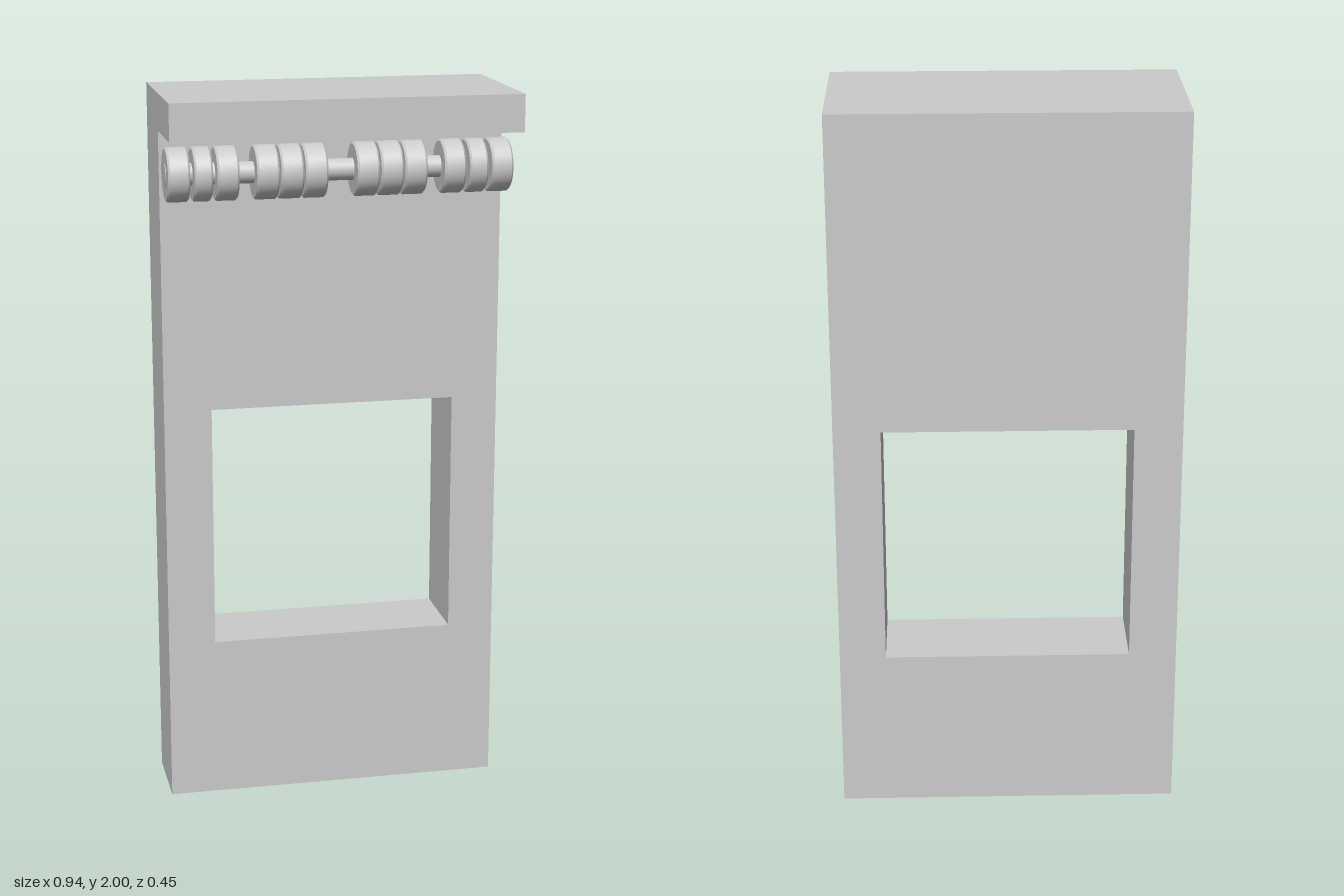
import * as THREE from 'three';
import { toCreasedNormals } from 'three/addons/utils/BufferGeometryUtils.js';

const HALF_W = 0.468, BACK = -0.223, FRONT = 0.223, FACE = 0.002;
const AXLE_Y = 1.797, AXLE_Z = 0.087, AXLE_R = 0.029, ROLLER_R = 0.072;

// Roller with slightly eased rims, axis along x
function rollerGeometry(width) {
  const h = width / 2, b = 0.005;
  const profile = [
    [0, -h], [ROLLER_R - b, -h], [ROLLER_R, -h + b],
    [ROLLER_R, h - b], [ROLLER_R - b, h], [0, h],
  ].map(([r, y]) => new THREE.Vector2(r, y));
  const geometry = new THREE.LatheGeometry(profile, 40);
  return toCreasedNormals(geometry, 0.5).rotateZ(Math.PI / 2);
}

export function createModel() {
  const model = new THREE.Group();
  model.name = 'windowPanelWithRollers';
  const material = new THREE.MeshStandardMaterial({ color: 0xcccccc });

  const add = (name, geometry, x, y, z, parent = model) => {
    const mesh = new THREE.Mesh(geometry, material);
    mesh.name = name;
    mesh.position.set(x, y, z);
    parent.add(mesh);
    return mesh;
  };

  // Upright panel with a square opening
  const outline = new THREE.Shape();
  outline.moveTo(-HALF_W, 0).lineTo(HALF_W, 0).lineTo(HALF_W, 2).lineTo(-HALF_W, 2).closePath();
  const opening = new THREE.Path();
  opening.moveTo(-0.337, 0.455).lineTo(-0.337, 1.133).lineTo(0.34, 1.133).lineTo(0.34, 0.455).closePath();
  outline.holes.push(opening);
  const panel = new THREE.ExtrudeGeometry(outline, { depth: FACE - BACK, bevelEnabled: false });
  add('panel', panel, 0, 0, BACK);

  // Ledge overhanging the rollers
  const ledgeDepth = FRONT - FACE;
  add('topLedge', new THREE.BoxGeometry(HALF_W * 2, 0.1, ledgeDepth), 0, 1.95, FACE + ledgeDepth / 2);

  // Axle carrying four groups of three rollers
  const rollerBar = new THREE.Group();
  rollerBar.name = 'rollerBar';
  rollerBar.position.set(0, AXLE_Y, AXLE_Z);
  model.add(rollerBar);
  const axle = new THREE.CylinderGeometry(AXLE_R, AXLE_R, 0.926, 32).rotateZ(Math.PI / 2);
  add('axle', axle, -0.002, 0, 0, rollerBar);

  const groups = [
    { centre: -0.37, widths: [0.058, 0.048, 0.058] },
    { centre: -0.136, widths: [0.06, 0.06, 0.06] },
    { centre: 0.131, widths: [0.06, 0.06, 0.06] },
    { centre: 0.366, widths: [0.058, 0.05, 0.058] },
  ];
  for (const { centre, widths } of groups) {
    widths.forEach((width, i) => {
      add('roller', rollerGeometry(width), centre + (i - 1) * 0.0645, 0, 0, rollerBar);
    });
  }

  return model;
}
